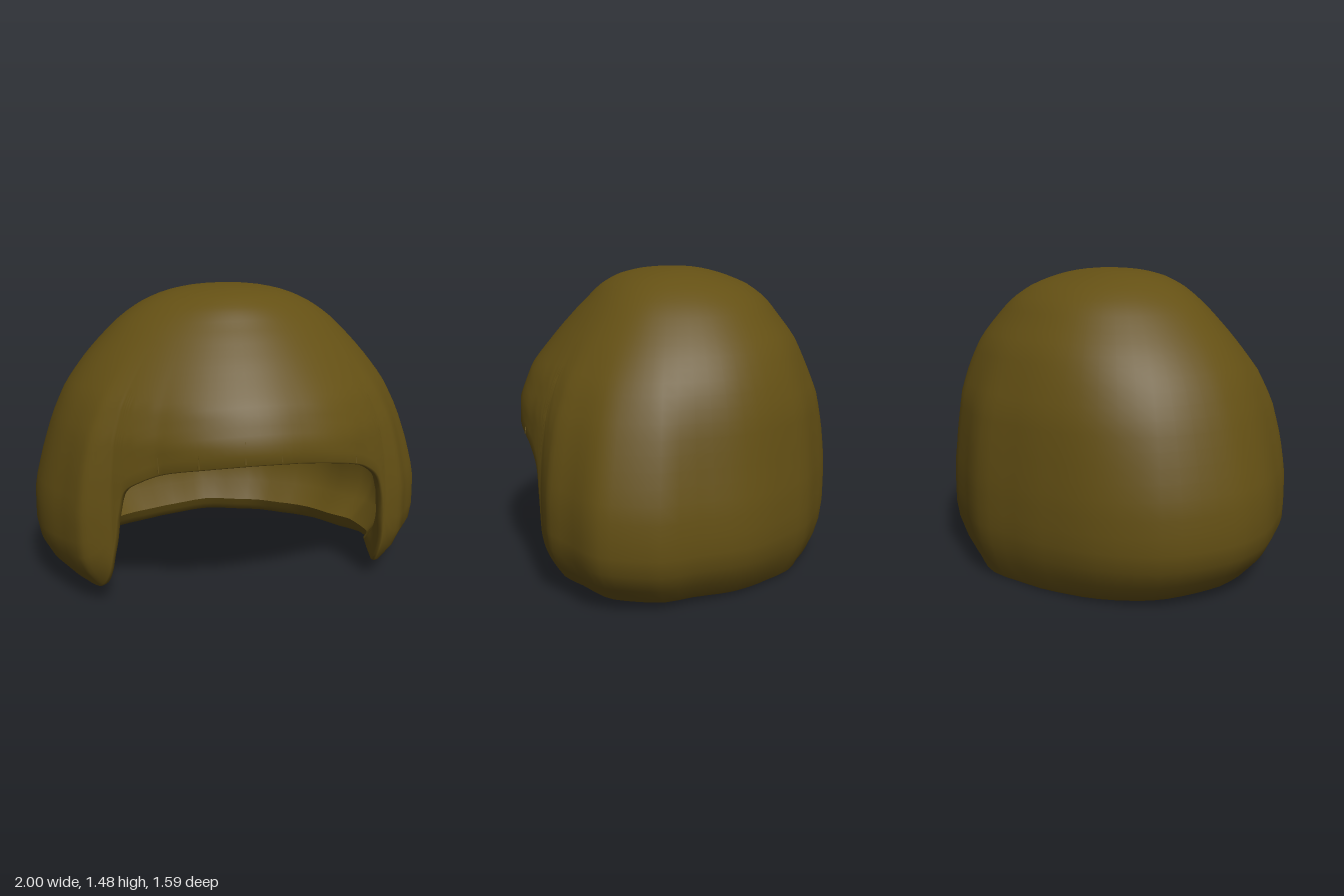
import * as THREE from 'three';
import { mergeVertices } from 'three/addons/utils/BufferGeometryUtils.js';

const TOP = 1.48;
const { lerp, smoothstep, degToRad } = THREE.MathUtils;

// Widest outline from above, as x, z pairs running from the back round to the back.
const PLAN = [
  [-0.2, -0.75], [-0.45, -0.68], [-0.71, -0.56], [-0.9, -0.38], [-0.97, -0.2], [-1, -0.03],
  [-0.97, 0.16], [-0.88, 0.35], [-0.8, 0.5], [-0.66, 0.56], [-0.45, 0.66], [-0.2, 0.77],
  [0.06, 0.8], [0.22, 0.77], [0.4, 0.73], [0.58, 0.63], [0.72, 0.53], [0.83, 0.46], [0.9, 0.34],
  [1, 0.2], [0.99, -0.09], [0.88, -0.25], [0.77, -0.44], [0.56, -0.61], [0.4, -0.71],
  [0.22, -0.75], [0.02, -0.8],
].map(([x, z]) => ({ a: Math.atan2(x, z), r: Math.hypot(x, z) }));

// Width profiles from crown to hem, evenly spaced in sqrt(TOP - y).
const FRONT = [0, 0.2, 0.35, 0.46, 0.55, 0.66, 0.78, 0.91, 0.985, 0.98, 0.94, 0.93, 0.93];
const SIDE = [0, 0.17, 0.31, 0.425, 0.53, 0.625, 0.725, 0.82, 0.89, 0.945, 0.995, 1, 1];
const BACK = [0, 0.16, 0.31, 0.47, 0.59, 0.68, 0.785, 0.86, 0.935, 0.975, 1, 1, 1];

// Hem height by angle in degrees (0 = front, positive = model's left).
const HEM = [
  [-180, 0.01], [-150, 0.01], [-120, 0.025], [-95, 0.04], [-78, 0.05], [-64, 0.07], [-56, 0.11],
  [-51.5, 0.2], [-49, 0.35], [-47.5, 0.5], [-45.5, 0.61], [-40, 0.665], [-32, 0.71], [-18, 0.745],
  [0, 0.765], [18, 0.75], [34, 0.71], [43, 0.665], [49.5, 0.59], [52, 0.47], [53, 0.32],
  [54.8, 0.18], [58, 0.1], [66, 0.07], [80, 0.05], [95, 0.04], [120, 0.025], [150, 0.01], [180, 0.01],
];

function planRadius(a) {
  const n = PLAN.length;
  for (let i = 0; i < n; i++) {
    const p = PLAN[i], q = PLAN[(i + 1) % n];
    const span = (q.a - p.a + 4 * Math.PI) % (2 * Math.PI);
    const d = (a - p.a + 4 * Math.PI) % (2 * Math.PI);
    if (d <= span) return lerp(p.r, q.r, d / span);
  }
  return 0.8;
}

function sample(table, f) {
  const i = Math.min(Math.floor(f), table.length - 2);
  return lerp(table[i], table[i + 1], Math.min(f - i, 1));
}

// Point on the outer surface at an angle and height, scaled towards the axis.
function surfacePoint(a, y, scale = 1, outY = y) {
  const f = Math.sqrt(Math.max(0, TOP - y)) * 10;
  const c = Math.cos(a), s = Math.sin(a);
  const w = sample(SIDE, f) * s * s + sample(c > 0 ? FRONT : BACK, f) * c * c;
  // Uneven outline low down, a smooth oval with a fuller back near the crown.
  const uneven = 1 - smoothstep(y, 0.5, 1.3);
  const oval = (1 - 0.14 * s * s * c * Math.abs(c)) / Math.hypot(s, c / 0.8);
  // Rounded tuck just above the hem.
  const low = Math.max(0, 1 - y / 0.3);
  const tuck = 1 - low * low * (0.2 - 0.1 * (c < 0 ? c * c : 0));
  const r = lerp(oval, planRadius(a), uneven) * w * tuck * scale;
  return new THREE.Vector3(r * s, outY, r * c);
}

// The inside of each cheek is turned back from the face opening.
function cheekTurn(a) {
  const d = Math.abs(a) * 180 / Math.PI;
  const turn = a < 0 ? -4 : 6;
  return degToRad(turn) * smoothstep(d, 22, 48) * (1 - smoothstep(d, 52, 105));
}

// Skin a closed band from columns of points.
function skin(columns) {
  const rows = columns[0].length, pos = [], index = [];
  columns.forEach(col => col.forEach(p => pos.push(p.x, p.y, p.z)));
  columns.forEach((_, j) => {
    const k = (j + 1) % columns.length;
    for (let i = 0; i < rows - 1; i++) {
      const a = j * rows + i, b = a + 1, d = k * rows + i, c = d + 1;
      index.push(a, b, c, a, c, d);
    }
  });
  const g = new THREE.BufferGeometry();
  g.setAttribute('position', new THREE.Float32BufferAttribute(pos, 3));
  g.setIndex(index);
  const merged = mergeVertices(g, 1e-5);
  merged.computeVertexNormals();
  return merged;
}

export function createModel() {
  const group = new THREE.Group();
  group.name = 'hair';
  const material = new THREE.MeshStandardMaterial({ color: 0x645014, side: THREE.DoubleSide });

  const hemCurve = new THREE.CatmullRomCurve3(
    HEM.map(([deg, y]) => new THREE.Vector3(degToRad(deg), y, 0)));
  const steps = (HEM.length - 1) * 5;
  const outer = [], inner = [];
  // Hem roll: inward scale, height change and share of the cheek turn.
  const roll = [[0.985, -0.008, 0.03], [0.96, -0.01, 0.15], [0.935, 0.005, 0.4], [0.91, 0.035, 0.7], [0.885, 0.075, 1]];

  for (let j = 0; j < steps; j++) {
    const hem = hemCurve.getPoint(j / steps);
    const a = hem.x, h = hem.y, turn = cheekTurn(a);
    const col = [], lining = [];
    for (let i = 0; i <= 32; i++) {
      const t = i / 32;
      col.push(surfacePoint(a, TOP - (TOP - h) * t * t));
    }
    roll.forEach(([s, dy, k]) => col.push(surfacePoint(a + turn * k, h, s, Math.max(0, h + dy))));
    outer.push(col);
    // The lining starts at the inner edge of the roll and closes under the crown.
    const last = col[col.length - 1];
    for (let i = 0; i <= 24; i++) {
      const t = 1 - i / 24;
      const y = TOP - (TOP - h) * t * t;
      const outY = 1.39 - (1.39 - last.y) * t * t;
      lining.push(surfacePoint(a + turn, y, 0.885, outY));
    }
    inner.push(lining);
  }

  const shell = new THREE.Mesh(skin(outer), material);
  shell.name = 'outerHair';
  const liningMesh = new THREE.Mesh(skin(inner), material);
  liningMesh.name = 'innerLining';
  group.add(shell, liningMesh);

  // Small strand creases above the fringe edge.
  [[-34, 0.71, 0.07], [-20, 0.745, 0.07], [-5, 0.77, 0.1], [7, 0.77, 0.09], [37, 0.7, 0.04]]
    .forEach(([deg, y, len]) => {
      const a = degToRad(deg);
      const low = surfacePoint(a, y, 0.996), high = surfacePoint(a, y + len, 1.003);
      const crease = new THREE.Mesh(new THREE.ConeGeometry(0.007, low.distanceTo(high), 6), material);
      crease.position.copy(low).add(high).multiplyScalar(0.5);
      crease.quaternion.setFromUnitVectors(new THREE.Vector3(0, 1, 0), high.clone().sub(low).normalize());
      crease.name = 'fringeCrease';
      group.add(crease);
    });

  return group;
}
